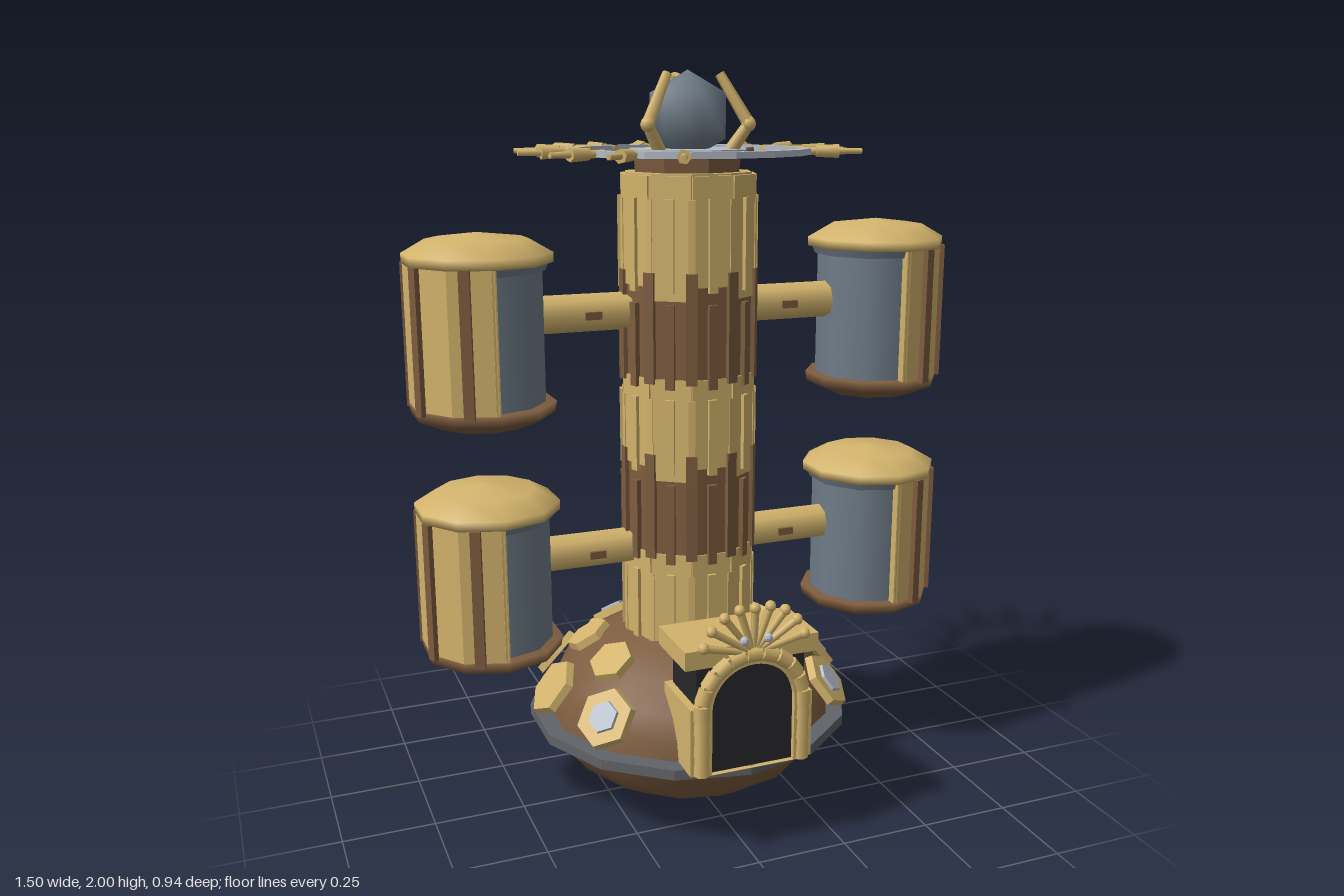
import * as THREE from 'three';

const mat = (color, flatShading = false) =>
  new THREE.MeshStandardMaterial({ color, flatShading, side: THREE.DoubleSide });
const TAN = mat(0xd2b36c), TAN_FLAT = mat(0xd2b36c, true), BROWN = mat(0x7d5c3f), BROWN_FLAT = mat(0x7d5c3f, true);
const STEEL = mat(0x6f7c88), PALE = mat(0xb4bcc8, true), RIM = mat(0x606368, true), DARK = mat(0x27272b, true);
const DEG = Math.PI / 180;
const V = (x, y, z) => new THREE.Vector3(x, y, z);

function add(parent, name, geo, material, x = 0, y = 0, z = 0) {
  const m = new THREE.Mesh(geo, material);
  m.name = name;
  m.position.set(x, y, z);
  parent.add(m);
  return m;
}
const box = (w, h, d) => new THREE.BoxGeometry(w, h, d);
const cyl = (r1, r2, h, n) => new THREE.CylinderGeometry(r1, r2, h, n);
const lathe = (pts, n) => new THREE.LatheGeometry(pts.map(p => new THREE.Vector2(...p)), n);

// Place a mesh at angle a around the y axis, facing outward (a = 0 is +z)
function around(parent, name, geo, material, a, r, y) {
  const m = add(parent, name, geo, material, Math.sin(a) * r, y, Math.cos(a) * r);
  m.rotation.y = a;
  return m;
}
// Cylinder between two points
function rod(parent, name, a, b, r1, r2, material, n = 6) {
  const d = b.clone().sub(a), mid = a.clone().add(b).multiplyScalar(0.5);
  const m = add(parent, name, cyl(r2, r1, d.length(), n), material, mid.x, mid.y, mid.z);
  m.quaternion.setFromUnitVectors(V(0, 1, 0), d.normalize());
  return m;
}

function buildHull(g) {
  add(g, 'lowerHull', lathe([[0, 0], [0.12, 0.015], [0.24, 0.05], [0.335, 0.11], [0.395, 0.185], [0.41, 0.24]], 14), BROWN);
  add(g, 'upperHull', lathe([[0.41, 0.24], [0.4, 0.3], [0.37, 0.36], [0.31, 0.42], [0.22, 0.475], [0.14, 0.5]], 14), BROWN);
  add(g, 'hullRim', cyl(0.455, 0.455, 0.028, 14), RIM, 0, 0.238, 0);
  // Hexagonal plates, some with windows; azimuth measured from the back
  const hex = (az, r, y, tilt, size, window) => {
    const p = new THREE.Group();
    p.name = window ? 'hexWindow' : 'hexPlate';
    const a = Math.PI - az * DEG;
    p.position.set(Math.sin(a) * r, y, Math.cos(a) * r);
    p.rotation.set((90 - tilt) * DEG, a, 0, 'YXZ');
    add(p, 'plate', cyl(size * 0.95, size, 0.022, 6), TAN_FLAT);
    if (window) add(p, 'pane', cyl(size * 0.5, size * 0.55, 0.016, 6), PALE, 0, 0.011, 0);
    g.add(p);
  };
  for (const az of [-126, -90, -54, -18, 18, 54, 90, 126])
    hex(az, 0.402, 0.343, 38, 0.085, [-126, -18, 90, 126].includes(az));
  for (const az of [-112, -70, -30, 30, 70, 112]) hex(az, 0.285, 0.443, 58, 0.067, az === -30);
}

function buildTower(g) {
  const core = add(g, 'towerCore', cyl(0.165, 0.165, 1.28, 10), BROWN_FLAT, 0, 1.1, 0);
  core.rotation.y = 18 * DEG;
  // Bands of overlapping panels with staggered ends and narrow battens
  const bands = [[0.46, 0.74], [0.73, 0.99], [0.98, 1.22], [1.21, 1.47], [1.46, 1.74]];
  bands.forEach(([y0, y1], b) => {
    const tan = b % 2 === 0, m = tan ? TAN_FLAT : BROWN_FLAT;
    const h = y1 - y0, mid = (y0 + y1) / 2;
    for (let i = 0; i < 10; i++) {
      const a = i * 36 * DEG, drop = tan && b > 0 ? (i % 2) * 0.035 : 0;
      around(g, 'towerPanel', box(0.11, h + drop, 0.025), m, a, tan ? 0.164 : 0.16, mid - drop / 2);
      around(g, 'panelBatten', box(0.024, h * 0.85, 0.016), m, a, 0.178, mid - 0.035);
      if (!tan) around(g, 'cornerBatten', box(0.03, h + 0.03, 0.02), m, a + 18 * DEG, 0.178, mid + 0.012);
      else around(g, 'cornerBatten', box(0.018, h * 0.8, 0.014), m, a + 18 * DEG, 0.178, mid - 0.03);
    }
  });
  add(g, 'towerTop', cyl(0.172, 0.172, 0.02, 10), TAN_FLAT, 0, 1.735, 0).rotation.y = 18 * DEG;
  add(g, 'neck', cyl(0.15, 0.145, 0.05, 8), BROWN_FLAT, 0, 1.765, 0);
  add(g, 'orbPlate', cyl(0.165, 0.165, 0.018, 8), PALE, 0, 1.793, 0);
  add(g, 'orb', new THREE.SphereGeometry(0.1155, 6, 3), STEEL, 0, 1.885, 0).rotation.y = 30 * DEG;
  // Three jointed claws holding the orb
  for (const deg of [60, 180, 300]) {
    const s = Math.sin(deg * DEG), c = Math.cos(deg * DEG);
    const at = (r, y) => V(s * r, y, c * r);
    rod(g, 'clawBase', at(0.115, 1.8), at(0.16, 1.865), 0.018, 0.015, TAN);
    add(g, 'clawJoint', new THREE.SphereGeometry(0.02, 8, 6), TAN, s * 0.16, 1.865, c * 0.16);
    rod(g, 'clawTip', at(0.16, 1.865), at(0.083, 1.99), 0.017, 0.013, TAN);
  }
}

function buildRing(g) {
  add(g, 'antennaRing', lathe([[0.29, 1.788], [0.322, 1.788], [0.322, 1.804], [0.29, 1.804], [0.29, 1.788]], 18), PALE);
  for (const deg of [0, 120, 240]) {
    const s = Math.sin(deg * DEG), c = Math.cos(deg * DEG);
    rod(g, 'ringStrut', V(s * 0.13, 1.785, c * 0.13), V(s * 0.3, 1.793, c * 0.3), 0.007, 0.007, BROWN);
  }
  // Stepped antennae, with a gap at the front left
  for (let i = 0; i < 13; i++) {
    const a = (180 - (-157.5 + i * 22.5)) * DEG;
    const at = r => V(Math.sin(a) * r, 1.796, Math.cos(a) * r);
    rod(g, 'antennaRoot', at(0.285), at(0.35), 0.01, 0.01, TAN);
    rod(g, 'antennaBody', at(0.335), at(0.395), 0.015, 0.018, TAN);
    rod(g, 'antennaTip', at(0.39), at(0.455), 0.009, 0.007, TAN);
  }
}

// Pod on an arm, reaching out along +x
function buildPod(y) {
  const p = new THREE.Group();
  p.name = 'podAssembly';
  const arm = add(p, 'podArm', cyl(0.05, 0.05, 0.27, 8), TAN, 0.285, y + 0.035, 0);
  arm.rotation.z = Math.PI / 2;
  for (const s of [-1, 1]) add(p, 'armClip', box(0.045, 0.02, 0.016), BROWN_FLAT, 0.28, y + 0.033, s * 0.047);
  const pod = new THREE.Group();
  pod.name = 'pod';
  pod.position.set(0.567, y, 0);
  p.add(pod);
  add(pod, 'podCore', cyl(0.162, 0.162, 0.39, 10), STEEL);
  add(pod, 'podShell', new THREE.CylinderGeometry(0.188, 0.188, 0.38, 5, 1, true, 0, Math.PI), TAN_FLAT);
  for (const s of [-1, 1]) add(pod, 'shellEdge', box(0.012, 0.37, 0.026), TAN_FLAT, 0.002, 0, s * 0.174);
  for (const deg of [22.5, 67.5, 112.5, 157.5])
    around(pod, 'podStrip', box(0.027, 0.37, 0.02), BROWN_FLAT, deg * DEG, 0.184, -0.005);
  add(pod, 'capLip', cyl(0.178, 0.17, 0.02, 10), STEEL, 0, 0.168, 0);
  add(pod, 'podCap', lathe([[0, 0.178], [0.19, 0.178], [0.191, 0.203], [0.13, 0.238], [0, 0.254]], 10), TAN);
  add(pod, 'podBase', lathe([[0, -0.252], [0.12, -0.237], [0.185, -0.208], [0.19, -0.18], [0, -0.18]], 10), BROWN);
  return p;
}

function archPath(shape, w, y0, yc) {
  shape.moveTo(-w, y0);
  shape.lineTo(-w, yc);
  shape.absarc(0, yc, w, Math.PI, 0, true);
  shape.lineTo(w, y0);
  shape.closePath();
  return shape;
}

function buildDoor(g) {
  const d = new THREE.Group();
  d.name = 'entrance';
  d.position.z = 0.015;
  g.add(d);
  add(d, 'porchRoof', box(0.37, 0.05, 0.19), TAN_FLAT, 0, 0.57, 0.345);
  add(d, 'porchCore', box(0.3, 0.3, 0.17), DARK, 0, 0.4, 0.345);
  for (const s of [-1, 1]) add(d, 'porchSide', box(0.025, 0.185, 0.19), TAN_FLAT, s * 0.158, 0.343, 0.345);
  // Arched frame with a dark doorway
  const frame = archPath(new THREE.Shape(), 0.155, 0.25, 0.425);
  frame.holes.push(archPath(new THREE.Path(), 0.115, 0.251, 0.425));
  add(d, 'doorFrame', new THREE.ExtrudeGeometry(frame, { depth: 0.025, bevelEnabled: false, curveSegments: 10 }), TAN_FLAT, 0, 0, 0.425);
  add(d, 'doorway', new THREE.ShapeGeometry(archPath(new THREE.Shape(), 0.118, 0.25, 0.425), 10), DARK, 0, 0, 0.436);
  // Segmented columns and arch
  for (const s of [-1, 1])
    for (let i = 0; i < 3; i++) add(d, 'columnSegment', cyl(0.019, 0.022, 0.056, 8), TAN, s * 0.14, 0.28 + i * 0.057, 0.44);
  for (let i = 0; i <= 10; i++) {
    const a = i * 18 * DEG;
    add(d, 'archBead', cyl(0.022, 0.022, 0.04, 8), TAN, Math.cos(a) * 0.14, 0.425 + Math.sin(a) * 0.14, 0.44).rotation.z = a;
  }
  // Fan of ball-tipped rods over the arch
  for (let i = 0; i < 9; i++) {
    const a = (15 + i * 18.75) * DEG, len = 0.125 + 0.02 * Math.abs(Math.cos(a));
    const tip = V(Math.cos(a) * len, 0.567 + Math.sin(a) * len, 0.45);
    rod(d, 'fanRod', V(Math.cos(a) * 0.02, 0.567 + Math.sin(a) * 0.02, 0.445), tip, 0.008, 0.011, TAN);
    add(d, 'fanTip', new THREE.SphereGeometry(0.015, 8, 6), TAN, tip.x, tip.y, tip.z);
  }
  for (const s of [-1, 1]) add(d, 'fanStud', new THREE.SphereGeometry(0.012, 8, 6), PALE, s * 0.033, 0.612, 0.46);
}

export function createModel() {
  const root = new THREE.Group();
  root.name = 'station';
  const body = new THREE.Group();
  body.name = 'body';
  body.position.z = -0.012;
  root.add(body);
  buildHull(body);
  buildTower(body);
  buildRing(body);
  buildDoor(body);
  for (const y of [0.7, 1.352])
    for (const turn of [0, Math.PI]) {
      const pod = buildPod(y);
      pod.rotation.y = turn;
      body.add(pod);
    }
  return root;
}
